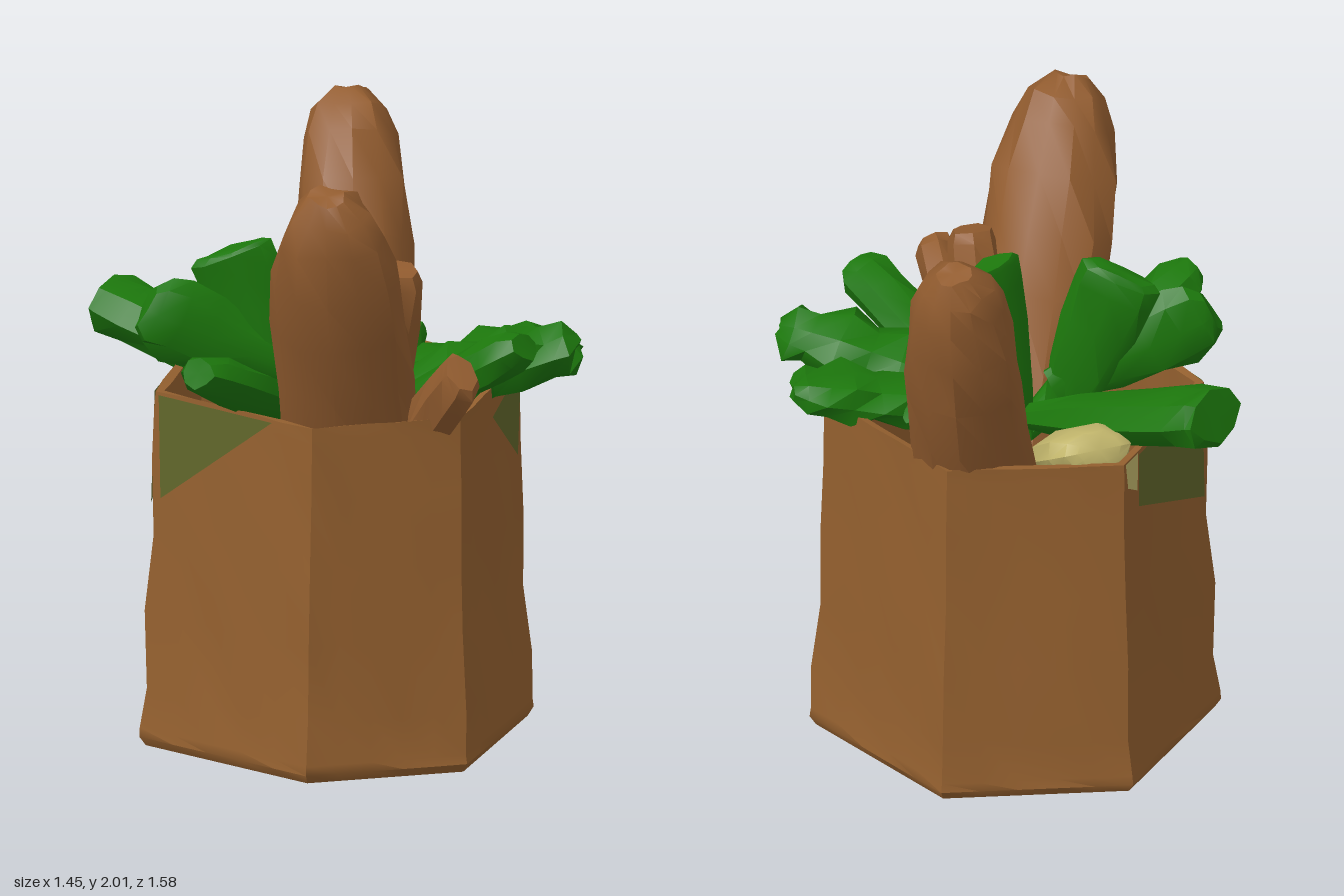
import * as THREE from 'three';
import { toCreasedNormals } from 'three/addons/utils/BufferGeometryUtils.js';

const mat = (name, color, extra = {}) => Object.assign(new THREE.MeshStandardMaterial({ color, ...extra }), { name });
const V = (x, y, z) => new THREE.Vector3(x, y, z);

function seeded(seed) {
  return () => {
    seed = (seed * 16807) % 2147483647;
    return (seed / 2147483647) * 2 - 1;
  };
}

// Closed skin over equal-length rings (counter-clockwise about the direction of travel)
function skin(rings, crease) {
  const n = rings[0].length, pos = [], idx = [];
  rings.forEach(r => r.forEach(p => pos.push(p.x, p.y, p.z)));
  for (let i = 0; i < rings.length - 1; i++)
    for (let j = 0; j < n; j++) {
      const a = i * n + j, b = i * n + (j + 1) % n;
      idx.push(a, b, a + n, b, b + n, a + n);
    }
  [0, rings.length - 1].forEach((ri, end) => {
    const c = rings[ri].reduce((s, p) => s.add(p), V(0, 0, 0)).divideScalar(n);
    const ci = pos.length / 3;
    pos.push(c.x, c.y, c.z);
    for (let j = 0; j < n; j++) {
      const a = ri * n + j, b = ri * n + (j + 1) % n;
      idx.push(...(end ? [ci, a, b] : [ci, b, a]));
    }
  });
  const g = new THREE.BufferGeometry();
  g.setAttribute('position', new THREE.Float32BufferAttribute(pos, 3));
  g.setIndex(idx);
  return toCreasedNormals(g, crease);
}

// Lumpy stick from a to b; profile = [along, width] pairs; rw sideways, rn upright radius
function stick({ a, b, profile, rw, rn, sides = 10, rough = 0.01, seed = 7 }) {
  const rnd = seeded(seed * 977), A = V(...a), B = V(...b);
  const d = B.clone().sub(A).normalize();
  const w = d.clone().cross(V(0, 1, 0)).normalize(), n = d.clone().cross(w);
  return skin(profile.map(([t, s]) => Array.from({ length: sides }, (_, j) => {
    const q = j / sides * Math.PI * 2, k = s + rnd() * rough / Math.max(rw, rn);
    return A.clone().lerp(B, t).addScaledVector(w, Math.cos(q) * rw * k)
      .addScaledVector(n, Math.sin(q) * rn * k).addScaledVector(d, rnd() * rough * 0.5);
  })), 0.65);
}

// Hexagonal bag plan, and a point on side k at fraction u and height y
const corners = [[0.645, 0], [0.27, -0.6], [-0.36, -0.6], [-0.705, 0], [-0.34, 0.66], [0.21, 0.665]];
const H = 1.19;
function onBag(k, u, y, s = 1) {
  const [x0, z0] = corners[k % 6], [x1, z1] = corners[(k + 1) % 6], t = y / H;
  return V((x0 + (x1 - x0) * u) * (1 - 0.08 * t) * s, y, (z0 + (z1 - z0) * u) * (1 - 0.03 * t) * s);
}

// Double-walled crumpled bag: up the outside, over the rim, down the inside
function bagGeometry() {
  const rnd = seeded(4211), per = 5;
  const rows = [[0, 0.965, 0], [0.03, 1, 0.002], [0.06, 0.995, 0.006], [0.2, 0.985, 0.018], [0.45, 0.988, 0.018],
    [0.7, 0.988, 0.016], [0.95, 0.99, 0.012], [1.14, 0.995, 0.006], [H, 1, 0.004],
    [H - 0.005, 0.95, 0.004], [0.95, 0.94, 0.014], [0.5, 0.94, 0.014], [0.06, 0.93, 0]];
  return skin(rows.map(([y, s, j]) => Array.from({ length: 6 * per }, (_, i) => {
    const p = onBag(Math.floor(i / per), (i % per) / per, y, s + rnd() * j);
    if (y > 0.1) p.y += rnd() * j;
    return p;
  })), 0.7);
}

// Thin stain lying on one bag side
function stain(k, pts) {
  const g = new THREE.BufferGeometry().setFromPoints(pts.map(([u, y]) => onBag(k, u, y, 1.014)));
  g.setIndex(pts.length === 4 ? [0, 1, 2, 0, 2, 3] : [0, 1, 2]);
  g.computeVertexNormals();
  return g;
}

export function createModel() {
  const group = new THREE.Group();
  const paper = mat('paper brown', 0x94602f);
  const crust = mat('crust brown', 0x925c2f);
  const green = mat('leaf green', 0x1c770c);
  const pale = mat('pale yellow', 0xc2b66c, { side: THREE.DoubleSide });
  const faded = mat('faded green', 0x60662a, { side: THREE.DoubleSide });
  const add = (name, g, m) => {
    const mesh = new THREE.Mesh(g, m);
    mesh.name = name;
    group.add(mesh);
  };

  add('paperBag', bagGeometry(), paper);

  // Two long loaves leaning forwards and backwards
  const loaf = [[0, 0.8], [0.2, 1], [0.4, 1.06], [0.55, 1.04], [0.68, 1.02], [0.8, 0.96], [0.9, 0.82], [0.96, 0.62], [1, 0.3]];
  add('frontLoaf', stick({ a: [0.02, 0.5, 0.1], b: [-0.27, 1.98, 0.69], profile: loaf, rw: 0.215, rn: 0.175, rough: 0.018, seed: 3, sides: 12 }), crust);
  add('backLoaf', stick({ a: [0.07, 0.5, -0.1], b: [0.235, 1.97, -0.7], profile: loaf, rw: 0.19, rn: 0.175, rough: 0.014, seed: 8, sides: 12 }), crust);

  // Small rolls
  const roll = [[0, 0.9], [0.4, 1], [0.75, 0.95], [0.95, 0.9], [1, 0.7]];
  add('uprightRoll', stick({ a: [0.04, 0.85, 0.1], b: [0.085, 1.62, 0.32], profile: roll, rw: 0.095, rn: 0.105, sides: 7, seed: 5 }), crust);
  add('frontRoll', stick({ a: [0.07, 0.95, 0.32], b: [0.165, 1.37, 0.75], profile: roll, rw: 0.07, rn: 0.1, sides: 7, seed: 9 }), crust);

  // Pale root vegetable
  add('paleVegetable', stick({
    a: [-0.1, 0.98, -0.1], b: [-0.25, 1.22, -0.53], rw: 0.155, rn: 0.09, seed: 12,
    profile: [[0, 0.4], [0.3, 0.7], [0.6, 0.95], [0.85, 0.98], [0.97, 0.75], [1, 0.5]],
  }), pale);

  // Green stalks and leaves fanning out over the rim
  const stalk = [[0, 0.5], [0.35, 0.8], [0.6, 1], [0.8, 1.05], [0.93, 0.95], [1, 0.65]];
  const blunt = [[0, 0.45], [0.3, 0.8], [0.6, 0.95], [0.85, 1.05], [0.97, 1], [1, 0.85]];
  const leaf = [[0, 0.5], [0.2, 0.9], [0.4, 1.1], [0.55, 0.95], [0.7, 1.1], [0.85, 0.8], [0.94, 0.75], [1, 0.35]];
  [
    ['frontRightStalk', [-0.05, 1.05, -0.02], [-0.65, 1.36, 0.47], 0.095, 0.075, stalk, 0.01],
    ['sideLeaf', [-0.15, 1.2, 0], [-0.67, 1.46, -0.04], 0.06, 0.125, stalk, 0.015],
    ['uprightLeaf', [-0.18, 1.1, 0], [-0.37, 1.63, -0.06], 0.05, 0.135, blunt, 0.012],
    ['backStalk', [-0.08, 1.1, -0.03], [-0.63, 1.35, -0.58], 0.135, 0.1, blunt, 0.012],
    ['middleStalk', [-0.05, 1.0, 0.03], [0.05, 1.67, -0.04], 0.045, 0.1, blunt, 0.014],
    ['frontLeftStalk', [0.04, 1.05, 0.12], [0.44, 1.39, 0.56], 0.1, 0.075, stalk, 0.01],
    ['leftLeafBack', [0.1, 1.12, 0.02], [0.7, 1.26, -0.06], 0.135, 0.08, leaf, 0.026],
    ['leftLeafFront', [0.07, 1.12, 0.1], [0.71, 1.31, 0.28], 0.14, 0.105, leaf, 0.026],
    ['smallLeaf', [0.1, 1.05, -0.05], [0.34, 1.26, -0.28], 0.04, 0.05, stalk, 0.006],
  ].forEach(([name, a, b, rw, rn, profile, rough], i) =>
    add(name, stick({ a, b, rw, rn, profile, rough, sides: 8, seed: 21 + i * 5 }), green));

  // Faded stains below the rim
  add('backStain', stain(2, [[0.16, 1.18], [0.94, 1.18], [0.9, 0.8], [0.14, 1.0]]), faded);
  add('paleStain', stain(2, [[0, 1.19], [0.15, 1.19], [0.13, 1.06], [0.02, 1.1]]), pale);
  add('frontStain', stain(3, [[0.04, 1.18], [0.75, 1.18], [0.08, 0.84]]), faded);
  add('leftStain', stain(5, [[0.5, 1.1], [0.99, 1.18], [0.88, 0.9]]), faded);

  return group;
}
